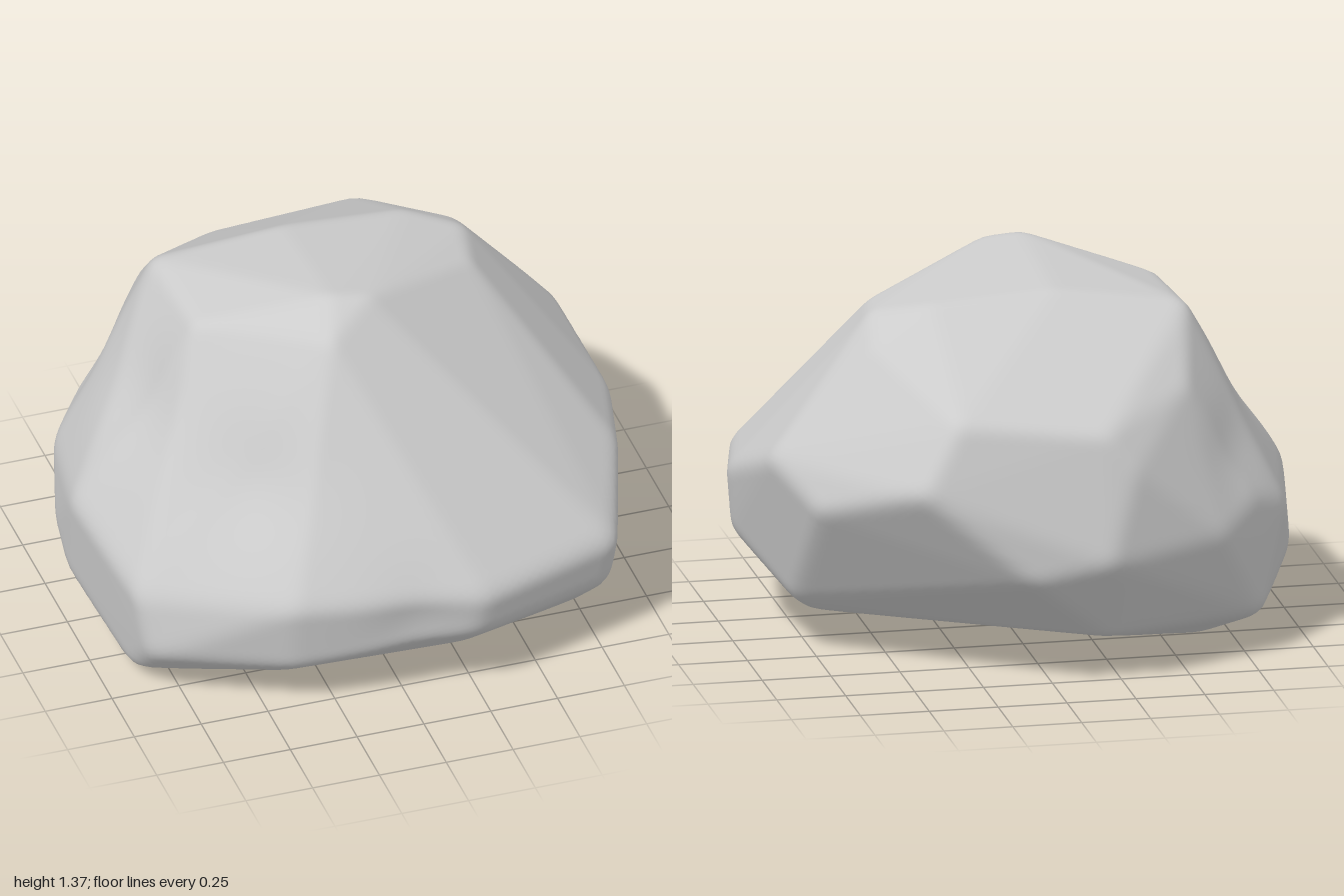
import * as THREE from 'three';
import { mergeVertices } from 'three/addons/utils/BufferGeometryUtils.js';
import { ConvexGeometry } from 'three/addons/geometries/ConvexGeometry.js';

const V = (x, y, z) => new THREE.Vector3(x, y, z);
const CENTRE = V(0, 0.62, 0);
const WEAR = 0.04; // angular radius of the edge rounding
const SWELL = 0.007; // makes up for what the rounding takes off

// Corners of the boulder's broad facets
const corners = [
  // crown
  V(-0.1, 1.37, 0.25), V(0.03, 1.355, 0.27), V(-0.15, 1.28, 0.4), V(0.5, 1.23, 0), V(0.54, 1.24, -0.2),
  V(0.56, 1.16, -0.36), V(-0.57, 1.25, -0.34), V(-0.55, 1.24, 0.08), V(-0.1, 1.31, -0.3), V(0.35, 1.28, -0.3),
  V(-0.3, 1.28, 0.25),
  // back shoulder
  V(0.35, 0.99, -0.82), V(-0.28, 0.8, -0.88), V(-0.18, 0.93, -0.86), V(-0.52, 1.02, -0.6), V(0.49, 0.75, -0.87),
  // back and its underside
  V(-0.18, 0.48, -0.95), V(0.1, 0.42, -0.91), V(-0.38, 0.4, -0.82), V(-0.62, 0.5, -0.74), V(-0.2, 0.16, -0.74),
  V(0.8, 0.62, -0.55),
  // +x side
  V(0.93, 0.76, -0.32), V(1, 0.62, 0.07), V(0.97, 0.38, 0.13), V(0.92, 0.62, 0.4), V(0.82, 0.21, -0.2),
  V(0.85, 0.27, 0.55),
  // front ledge
  V(0.79, 0.47, 0.78), V(0.77, 0.28, 0.74), V(0.25, 0.45, 0.95), V(0.22, 0.29, 0.92),
  V(-0.43, 0.47, 0.84), V(-0.42, 0.21, 0.8), V(-0.91, 0.42, 0.51), V(-0.88, 0.2, 0.57),
  // -x side
  V(-1, 0.55, 0.05), V(-0.98, 0.2, -0.05), V(-0.97, 0.3, -0.22), V(-0.92, 0.51, -0.39), V(-0.78, 0.58, -0.56),
  // base
  V(-0.82, 0, 0), V(-0.89, 0.05, 0.4), V(-0.38, 0.04, 0.57), V(0.72, 0.12, 0.58), V(0.75, 0.15, -0.15),
  V(-0.6, 0.05, -0.4), V(-0.8, 0.15, -0.54), V(0.25, 0.1, 0.68),
];

// Shallow hollows: centre, width and depth
const hollows = [
  [V(-0.76, 0.93, 0.02), 0.22, 0.035],
  [V(-0.5, 0.78, 0.5), 0.24, 0.045],
  [V(0.02, 0.36, 0.88), 0.16, 0.025],
  [V(-0.72, 0.75, -0.52), 0.16, 0.02],
];

// Facet planes of the hull, relative to the centre
function hullPlanes(points) {
  const pos = new ConvexGeometry(points.map((p) => p.clone().sub(CENTRE))).getAttribute('position');
  const planes = [];
  for (let i = 0; i < pos.count; i += 3) {
    const [a, b, c] = [0, 1, 2].map((k) => new THREE.Vector3().fromBufferAttribute(pos, i + k));
    const plane = new THREE.Plane().setFromCoplanarPoints(a, b, c);
    plane.constant -= SWELL;
    planes.push(plane);
  }
  return planes;
}

// Distance from the centre to the faceted skin along a direction
function reach(planes, dir) {
  let r = Infinity;
  for (const { normal, constant } of planes) {
    const d = normal.dot(dir);
    if (d > 1e-4) r = Math.min(r, -constant / d);
  }
  return r;
}

export function createModel() {
  const planes = hullPlanes(corners);
  let geo = new THREE.IcosahedronGeometry(1, 48);
  geo.deleteAttribute('normal');
  geo.deleteAttribute('uv');
  geo = mergeVertices(geo, 1e-5);

  // Push the ball out to the facets, averaging nearby reaches to wear the edges
  const pos = geo.getAttribute('position');
  const dir = V(), side = V(), up = V(), probe = V();
  for (let i = 0; i < pos.count; i++) {
    dir.fromBufferAttribute(pos, i).normalize();
    side.set(dir.y, dir.z, -dir.x).cross(dir).normalize();
    up.crossVectors(dir, side);
    let sum = 2 * reach(planes, dir);
    for (let k = 0; k < 6; k++) {
      const a = (k * Math.PI) / 3;
      probe.copy(dir).addScaledVector(side, WEAR * Math.cos(a)).addScaledVector(up, WEAR * Math.sin(a)).normalize();
      sum += reach(planes, probe);
    }
    const r = sum / 8;
    probe.copy(dir).multiplyScalar(r).add(CENTRE);
    let dent = 0;
    for (const [centre, width, depth] of hollows) {
      dent += depth * Math.exp(-probe.distanceToSquared(centre) / (width * width));
    }
    probe.addScaledVector(dir, -dent);
    pos.setXYZ(i, probe.x, probe.y, probe.z);
  }

  // Centre it and stand it on the ground
  geo.computeBoundingBox();
  const mid = geo.boundingBox.getCenter(V());
  geo.translate(-mid.x, -geo.boundingBox.min.y, -mid.z);
  geo.computeVertexNormals();

  const rock = new THREE.Mesh(geo, new THREE.MeshStandardMaterial({ color: 0xcccccc }));
  rock.name = 'boulder';
  const group = new THREE.Group();
  group.name = 'rock';
  group.add(rock);
  return group;
}
